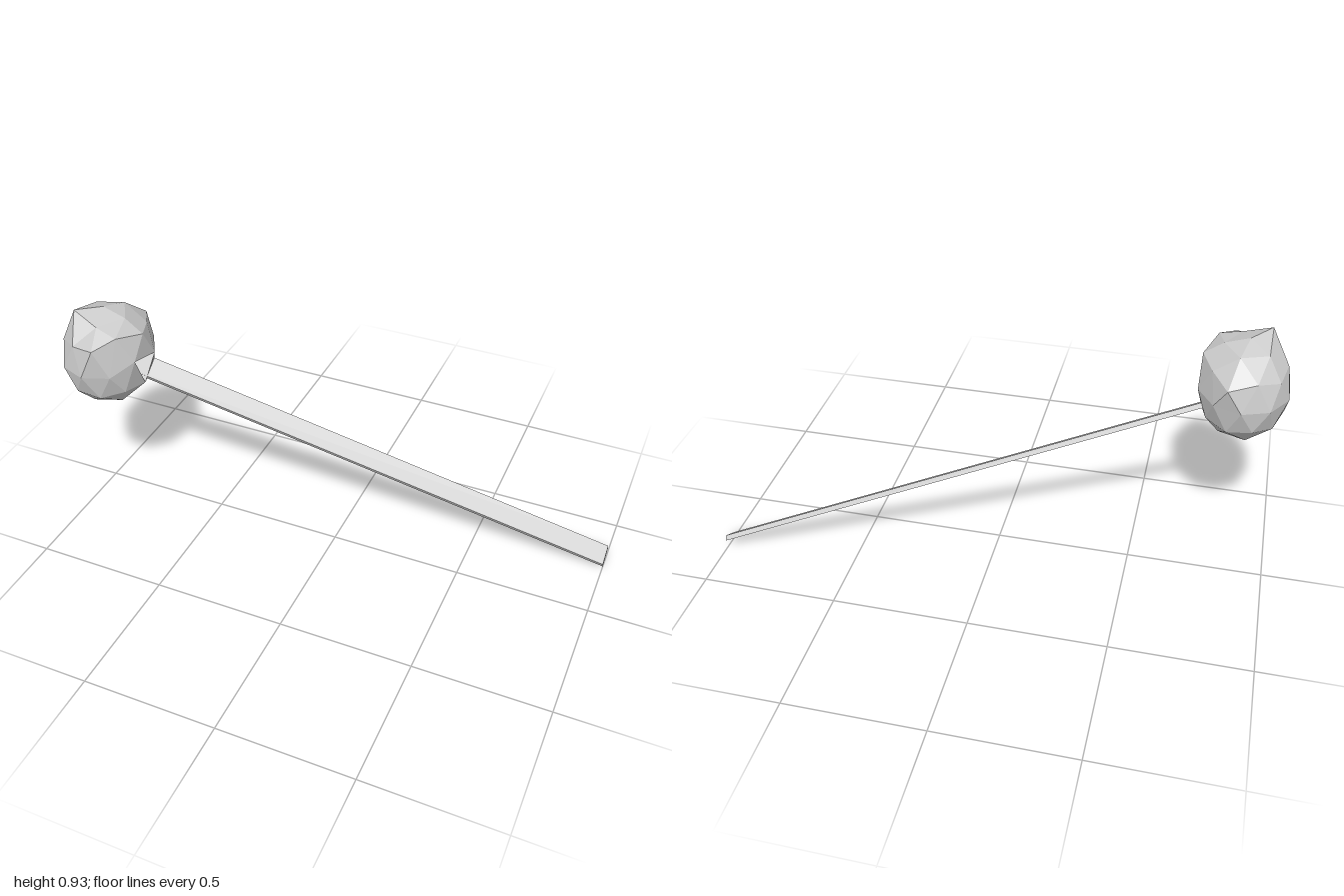
import * as THREE from 'three';

const material = new THREE.MeshStandardMaterial({ color: 0xcccccc, flatShading: true });

// Rise and sideways drift of the stick per unit towards -x
const RISE = 0.37, DRIFT = 0.211;

// Thin slanted batten with ends cut square to x
function makeStick() {
  const x0 = -0.885, x1 = 1;
  const geo = new THREE.BoxGeometry(1, 1, 1);
  const p = geo.attributes.position;
  for (let i = 0; i < p.count; i++) {
    const x = p.getX(i) > 0 ? x1 : x0;
    const t = p.getY(i), w = p.getZ(i);
    p.setXYZ(i, x,
      0.03 + RISE * (1 - x) + 0.0185 * t - 0.0375 * w,
      -0.279 + DRIFT * (1 - x) + 0.0095 * t + 0.0685 * w);
  }
  geo.computeVertexNormals();
  const mesh = new THREE.Mesh(geo, material);
  mesh.name = 'stick';
  return mesh;
}

// Faceted lump with a few corners pulled out and a socket sunk for the stick
function makeHead() {
  const ball = new THREE.IcosahedronGeometry(1, 1);
  ball.rotateZ(-Math.atan(2 / (1 + Math.sqrt(5))));
  const src = ball.attributes.position;
  const centre = new THREE.Vector3(-0.843, 0.73, 0.13);
  const radii = new THREE.Vector3(0.163, 0.19, 0.19);

  // Corners near these points snap to them
  const pulled = [
    [-0.915, 0.93, 0.205], [-0.79, 0.845, 0.31], [-0.79, 0.81, -0.057],
    [-0.69, 0.843, 0.13], [-0.735, 0.87, 0.235], [-0.69, 0.765, 0.2],
  ].map(c => new THREE.Vector3(...c));
  const place = v => {
    const q = v.clone().multiply(radii).add(centre);
    return pulled.find(c => c.distanceTo(q) < 0.055) ?? q;
  };

  const out = [];
  const tri = (...pts) => pts.forEach(v => out.push(v.x, v.y, v.z));
  const socketDir = new THREE.Vector3(0.917, -0.175, 0);
  const sink = new THREE.Vector3(-1, RISE, DRIFT).multiplyScalar(0.18);

  for (let i = 0; i < src.count; i += 3) {
    const raw = [0, 1, 2].map(k => new THREE.Vector3().fromBufferAttribute(src, i + k));
    const face = raw.map(place);
    const mid = raw[0].clone().add(raw[1]).add(raw[2]).divideScalar(3);
    if (mid.distanceTo(socketDir) > 0.1) {
      tri(...face);
      continue;
    }
    // Socket: floor and three walls
    const floor = face.map(v => v.clone().add(sink));
    tri(...floor);
    for (let k = 0; k < 3; k++) {
      const n = (k + 1) % 3;
      tri(face[k], face[n], floor[n]);
      tri(face[k], floor[n], floor[k]);
    }
  }
  const geo = new THREE.BufferGeometry();
  geo.setAttribute('position', new THREE.Float32BufferAttribute(out, 3));
  geo.computeVertexNormals();
  const mesh = new THREE.Mesh(geo, material);
  mesh.name = 'head';
  return mesh;
}

export function createModel() {
  const group = new THREE.Group();
  group.name = 'stickWithLumpyHead';
  group.add(makeStick(), makeHead());
  return group;
}
